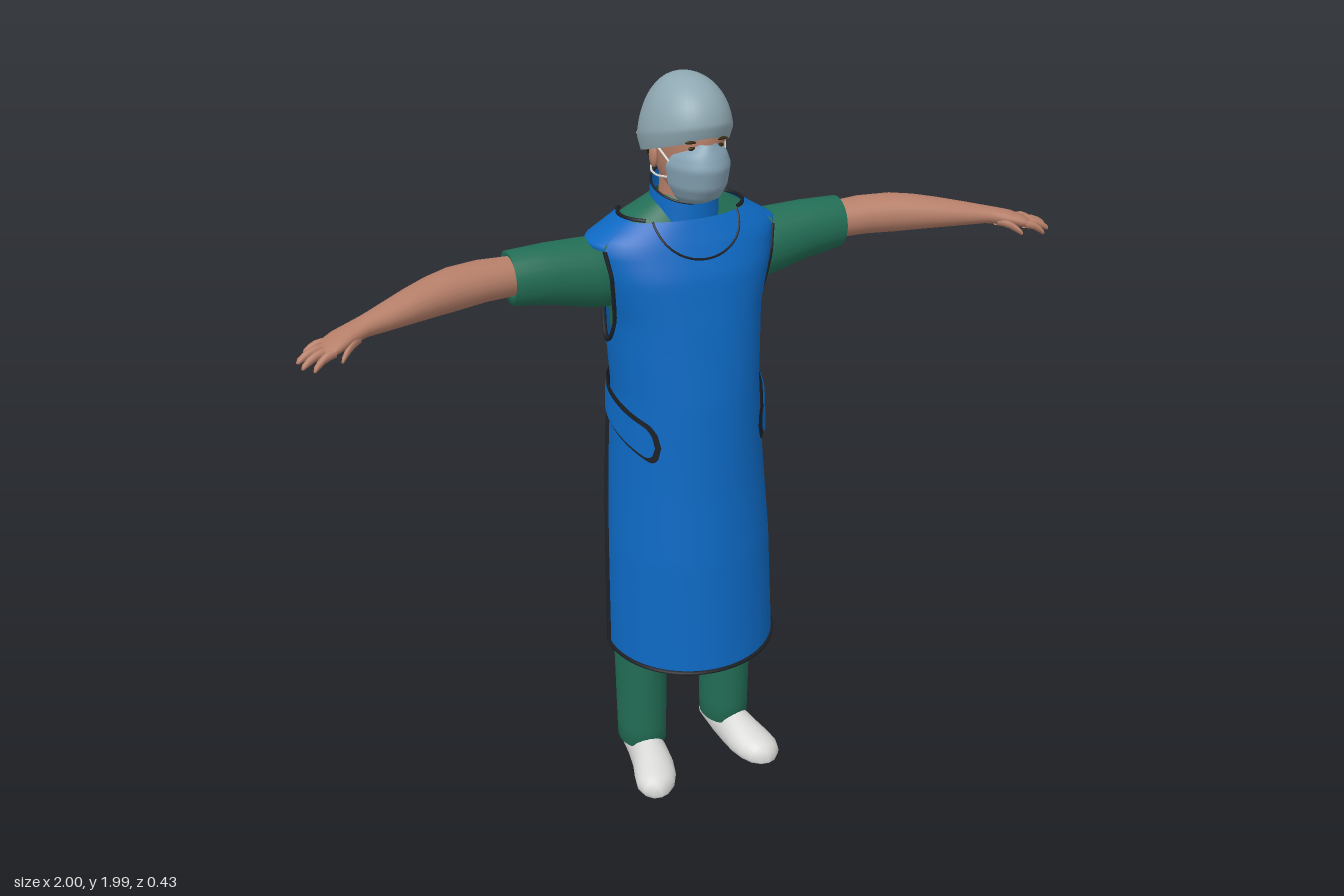
import * as THREE from 'three';
import { mergeVertices } from 'three/addons/utils/BufferGeometryUtils.js';

const { sin, cos, abs, sqrt, PI, min, max, asin, sign } = Math;
const rad = d => d * PI / 180;
const material = (name, color) => {
  const m = new THREE.MeshStandardMaterial({ color, side: THREE.DoubleSide });
  m.name = name;
  return m;
};

// Smooth surface from a point rule f(u, v) with u and v in 0..1
function grid(f, nu = 32, nv = 12) {
  const pos = [], idx = [];
  for (let j = 0; j <= nv; j++) for (let i = 0; i <= nu; i++) pos.push(...f(i / nu, j / nv));
  for (let j = 0; j < nv; j++) for (let i = 0; i < nu; i++) {
    const a = j * (nu + 1) + i, b = a + 1, c = a + nu + 1, d = c + 1;
    idx.push(a, b, d, a, d, c);
  }
  let g = new THREE.BufferGeometry();
  g.setAttribute('position', new THREE.Float32BufferAttribute(pos, 3));
  g.setIndex(idx);
  g = mergeVertices(g, 1e-5);
  g.computeVertexNormals();
  return g;
}

// Mirrored copy across x = 0
function mirrored(g) {
  const m = g.clone().scale(-1, 1, 1), ix = m.index.array;
  for (let i = 0; i < ix.length; i += 3) [ix[i], ix[i + 1]] = [ix[i + 1], ix[i]];
  return m;
}

// Linear lookup in a table sorted by its first column
function look(table, k) {
  let i = 0;
  while (i < table.length - 2 && k > table[i + 1][0]) i++;
  const a = table[i], b = table[i + 1];
  const t = min(1, max(0, (k - a[0]) / (b[0] - a[0])));
  return a.map((v, n) => v + (b[n] - v) * t);
}

// Lofts through rings; the rule turns a ring and an angle into a point
const loft = (rings, rule, sides = 24) =>
  grid((u, v) => rule(rings[Math.round(v * (rings.length - 1))], u * 2 * PI), sides, rings.length - 1);
const alongX = ([x, y, z, ry, rz], a) => [x, y + ry * cos(a), z + rz * sin(a)];
const alongY = ([y, x, z, rx, rz], a) => [x + rx * sin(a), y, z + rz * cos(a)];
const headRule = ([y, w, z, f, b], a) => [w * sin(a), y, z + (cos(a) > 0 ? f : b) * cos(a)];
const shoeRule = ([z, x, w, h], a) => [x + w * cos(a), max(0, h * (0.3 + 0.7 * sin(a))), z];
const tube = (pts, r = 0.006, n = 40) =>
  new THREE.TubeGeometry(new THREE.CatmullRomCurve3(pts.map(p => new THREE.Vector3(...p))), n, r, 6);

// Torso and apron rings: height, half width, centre z, front depth, back depth, squareness
const BODY = [
  [0.43, 0.232, -0.02, 0.23, 0.16, 1], [0.75, 0.222, -0.03, 0.217, 0.16, 1],
  [0.94, 0.210, -0.045, 0.213, 0.165, 1], [1.05, 0.203, -0.05, 0.21, 0.155, 1],
  [1.2, 0.195, -0.05, 0.197, 0.147, 0.95], [1.4, 0.205, -0.06, 0.177, 0.14, 0.85],
  [1.52, 0.235, -0.06, 0.155, 0.14, 0.8], [1.6, 0.25, -0.065, 0.125, 0.13, 0.8],
  [1.65, 0.17, -0.065, 0.1, 0.1, 0.8], [1.7, 0.08, -0.06, 0.07, 0.065, 0.9]];
function body(a, y, o = 0) {
  const [, w, zc, f, b, p] = look(BODY, y), s = sin(a), c = cos(a);
  return [(w + o) * sign(s) * abs(s) ** p, y, zc + ((c > 0 ? f : b) + o) * c];
}
function chestZ(x, y, o) {
  const [, w, zc, f, , p] = look(BODY, y);
  return zc + (f + o) * cos(asin(min(1, abs(x) / w) ** (1 / p)));
}

// Apron edges as angles from the front
const hole = y => sqrt(min(1, max(0, (y - 1.33) / 0.2)));
const frontEdge = y => rad(y < 1.15 ? 97 + 19 * (y - 0.43)
  : y < 1.33 ? 110.7 - 15.7 * (y - 1.15) / 0.18 : 95 - 32 * hole(y));
const backHole = y => rad(95 + 38 * hole(y));
function veeEdge(y) {
  const [, w, , , , p] = look(BODY, y);
  return PI - asin(min(1, max(0, 0.14 * (y - 1.33) / 0.32) / w) ** (1 / p));
}
const band = (y0, y1, from, to, nu = 24, nv = 16) => grid((u, v) => {
  const y = y0 + (y1 - y0) * v, a = from(y), b = to(y);
  return body(a + (b - a) * u, y);
}, nu, nv);
const edge = (y0, y1, angle, n = 16) => Array.from({ length: n + 1 }, (_, i) => {
  const y = y0 + (y1 - y0) * i / n;
  return body(angle(y), y, 0.001);
});
const hoop = (y, a0, a1, n = 24) =>
  Array.from({ length: n + 1 }, (_, i) => body(a0 + (a1 - a0) * i / n, y, 0.001));

export function createModel() {
  const model = new THREE.Group();
  model.name = 'maskedMedic';
  const blue = material('apronBlue', 0x0d68c2), green = material('scrubGreen', 0x226d55);
  const skin = material('skin', 0xb67f69), cap = material('capGrey', 0x8fa8b2);
  const maskMat = material('maskBlueGrey', 0x86a3b4), white = material('shoeWhite', 0xd9d9d7);
  const black = material('trimBlack', 0x1c2026), hair = material('hairBrown', 0x35280f);
  const add = (name, geo, mat) => {
    const m = new THREE.Mesh(geo, mat);
    m.name = name;
    model.add(m);
  };
  const pair = (name, geo, mat) => {
    add(name + 'Left', geo, mat);
    add(name + 'Right', mirrored(geo), mat);
  };

  // Scrub top, trousers and sleeves
  add('tunic', grid((u, v) => body(u * 2 * PI, 0.94 + 0.76 * v, -0.014), 48, 48), green);
  pair('trouserLeg', loft([
    [0.07, 0.132, -0.06, 0.055, 0.06], [0.06, 0.132, -0.06, 0.068, 0.08], [0.12, 0.132, -0.06, 0.069, 0.08],
    [0.4, 0.132, -0.06, 0.071, 0.09], [0.6, 0.128, -0.057, 0.077, 0.095], [0.78, 0.112, -0.055, 0.088, 0.103],
    [0.86, 0.1, -0.058, 0.096, 0.11], [1.0, 0.09, -0.06, 0.095, 0.112]], alongY), green);
  pair('sleeve', loft([
    [0.16, 1.5, -0.08, 0.08, 0.07], [0.2, 1.51, -0.08, 0.09, 0.08], [0.25, 1.515, -0.08, 0.088, 0.082],
    [0.35, 1.53, -0.076, 0.077, 0.07], [0.45, 1.538, -0.07, 0.068, 0.061], [0.447, 1.542, -0.07, 0.05, 0.05]], alongX), green);

  // Arms, palms, fingers and thumbs
  pair('arm', loft([
    [0.43, 1.543, -0.07, 0.047, 0.052], [0.52, 1.548, -0.06, 0.05, 0.055], [0.6, 1.547, -0.045, 0.051, 0.057],
    [0.66, 1.546, -0.024, 0.046, 0.055], [0.72, 1.543, 0, 0.039, 0.049], [0.78, 1.539, 0.025, 0.031, 0.04],
    [0.83, 1.535, 0.044, 0.024, 0.033], [0.87, 1.529, 0.06, 0.021, 0.038], [0.905, 1.522, 0.074, 0.019, 0.046],
    [0.935, 1.513, 0.083, 0.014, 0.044], [0.943, 1.511, 0.085, 0, 0]], alongX), skin);
  const finger = (x0, y0, z0, x1, y1, z1) => loft([0, 0.25, 0.5, 0.75, 0.93, 1].map((t, i) => {
    const r = [0.011, 0.011, 0.0105, 0.0095, 0.007, 0][i];
    return [x0 + (x1 - x0) * t, y0 + (y1 - y0) * t + 0.008 * sin(PI * t), z0 + (z1 - z0) * t, r, r];
  }), alongX, 10);
  [[0.915, 1.515, 0.112, 0.972, 1.487, 0.13], [0.925, 1.514, 0.095, 0.995, 1.492, 0.116],
    [0.925, 1.514, 0.075, 1.0, 1.497, 0.091], [0.915, 1.516, 0.054, 0.978, 1.503, 0.062]]
    .forEach((f, i) => pair('finger' + (i + 1), finger(...f), skin));
  pair('thumb', finger(0.85, 1.522, 0.075, 0.908, 1.493, 0.124), skin);

  // Shoes
  pair('shoe', loft([
    [-0.152, 0.13, 0, 0.03], [-0.15, 0.13, 0.025, 0.05], [-0.13, 0.13, 0.043, 0.08], [-0.04, 0.135, 0.05, 0.095],
    [0.02, 0.142, 0.055, 0.092], [0.07, 0.152, 0.061, 0.075], [0.11, 0.162, 0.06, 0.062],
    [0.14, 0.167, 0.047, 0.053], [0.157, 0.17, 0.025, 0.04], [0.162, 0.17, 0, 0.015]], shoeRule), white);

  // Apron: front, sides, back and shoulder straps
  add('apronFront', band(0.43, 1.65, y => -frontEdge(y), frontEdge, 40, 61), blue);
  pair('apronSide', band(1.15, 1.33, frontEdge, () => PI), blue);
  pair('apronBack', band(1.33, 1.59, backHole, veeEdge), blue);
  pair('apronShoulder', band(1.59, 1.655, frontEdge, veeEdge), blue);

  // Dark binding along the apron edges
  add('hemBinding', tube(hoop(0.43, -frontEdge(0.43), frontEdge(0.43))), black);
  pair('skirtBinding', tube(edge(0.43, 1.15, frontEdge), 0.009), black);
  pair('backHemBinding', tube(hoop(1.15, frontEdge(1.15), PI), 0.005), black);
  pair('armholeBinding', tube([...edge(1.59, 1.33, frontEdge), ...edge(1.34, 1.59, backHole)], 0.006, 60), black);
  pair('backNeckBinding', tube(edge(1.335, 1.655, veeEdge), 0.005), black);
  pair('shoulderBinding', tube(hoop(1.655, 0.8, veeEdge(1.655)), 0.005), black);
  add('wrapSeam', tube(Array.from({ length: 9 }, (_, i) =>
    body(PI + rad(48) * i / 8, 1.335 - 0.15 * i / 8, 0.001)), 0.003), black);

  // Side fastening straps
  const strap = (a0, a1, o, grow, round) => grid((u, v) => {
    const a = a0 + (a1 - a0) * u, k = min(1, max(0, (a - rad(45)) / rad(65)));
    const e = round ? sqrt(max(0, 1 - (1 - min(1, u / 0.15)) ** 2)) : 1;
    return body(a, 1.09 + 0.09 * k + (v * 2 - 1) * (0.042 + grow - 0.008 * k) * e, o);
  }, 30, 4);
  pair('strapBacking', strap(rad(41), rad(112), 0.008, 0.011, true), black);
  pair('strap', strap(rad(45), rad(106), 0.013, 0, true), blue);
  pair('strapFastener', strap(rad(104), rad(142), 0.009, 0.004, false), black);

  // Neck collar with rounded bib
  const collar = (a, v) => [(0.088 - 0.008 * v) * sin(a), 1.65 - 0.028 * cos(a) + (0.068 + 0.004 * cos(a)) * v,
    -0.043 + (0.09 - 0.005 * v) * cos(a)];
  add('collar', grid((u, v) => collar(u * 2 * PI, v), 40, 4), blue);
  const bib = (th, t) => {
    const x = 0.112 * t * sin(th), y = 1.655 - 0.088 * t * cos(th);
    return [x, y, chestZ(x, y, 0.012)];
  };
  add('collarBib', grid((u, v) => bib((u - 0.5) * PI, v), 28, 10), blue);
  const turn = n => Array.from({ length: n + 1 }, (_, i) => i / n);
  add('bibBinding', tube(turn(20).map(t => bib((t - 0.5) * PI, 1)), 0.003), black);
  add('collarTopBinding', tube(turn(32).map(t => collar(t * 2 * PI, 1)), 0.003, 64), black);
  add('collarLowerBinding', tube(turn(32).map(t => collar(t * 2 * PI, 0)), 0.003, 64), black);

  // Neck, head, ears, eyes and hair
  add('neck', loft([[1.62, 0, -0.06, 0.062, 0.06], [1.72, 0, -0.05, 0.057, 0.06], [1.8, 0, -0.045, 0.06, 0.065]], alongY), skin);
  add('head', loft([
    [1.695, 0, 0.04, 0, 0], [1.7, 0.028, 0.035, 0.03, 0.04], [1.72, 0.052, 0.01, 0.07, 0.065],
    [1.75, 0.069, -0.01, 0.098, 0.085], [1.8, 0.082, -0.03, 0.118, 0.1], [1.835, 0.086, -0.035, 0.122, 0.112],
    [1.86, 0.088, -0.035, 0.127, 0.115], [1.9, 0.088, -0.035, 0.115, 0.11], [1.95, 0.04, -0.035, 0.05, 0.05]], headRule, 32), skin);
  const ball = (x, y, z, sx, sy, sz) => new THREE.SphereGeometry(1, 14, 10).scale(sx, sy, sz).translate(x, y, z);
  pair('ear', ball(0.088, 1.805, -0.025, 0.01, 0.03, 0.017), skin);
  pair('eye', ball(0.034, 1.842, 0.078, 0.012, 0.005, 0.005), hair);
  pair('eyebrow', ball(0.036, 1.858, 0.08, 0.019, 0.004, 0.005), hair);
  add('hair', grid((u, v) => {
    const a = rad(98 + 164 * u), y = 1.755 + 0.1 * v, r = 0.85 + 0.15 * min(1, v * 2);
    return [0.094 * r * sin(a), y + 0.03 * (1 - v) * (1 + cos(a)), -0.035 + 0.122 * r * cos(a)];
  }, 28, 8), hair);

  // Surgical cap with a rim dropping towards the nape
  add('cap', grid((u, v) => {
    const a = u * 2 * PI, rim = 1.822 + 0.042 * cos(a), t = (1 - v) * PI / 2;
    const r = v === 0 ? 0.92 : sin(t) ** 0.9, y = v === 0 ? rim - 0.006 : rim + 0.012 + (1.978 - rim) * cos(t);
    return [0.11 * r * sin(a), y, -0.038 + 0.137 * r * cos(a)];
  }, 40, 16), cap);

  // Face mask with its ties
  const MASK = [[1.7, 0.045, 0.02, 0.045], [1.715, 0.058, 0.02, 0.075], [1.745, 0.073, 0.015, 0.1],
    [1.795, 0.08, 0.015, 0.11], [1.825, 0.066, 0.03, 0.084], [1.852, 0.028, 0.05, 0.05]];
  add('mask', grid((u, v) => {
    const [y, w, z, d] = look(MASK, 1.7 + 0.152 * v), a = (u - 0.5) * rad(170);
    return [w * sin(a), y, z + d * cos(a)];
  }, 24, 20), maskMat);
  pair('upperTie', tube([[0.072, 1.8, 0.035], [0.09, 1.835, -0.01], [0.1, 1.84, -0.06], [0.07, 1.825, -0.15], [0, 1.815, -0.18]], 0.003), white);
  pair('lowerTie', tube([[0.07, 1.765, 0.035], [0.08, 1.755, -0.02], [0.07, 1.75, -0.08], [0.04, 1.75, -0.13], [0, 1.75, -0.145]], 0.003), white);
  pair('upperTieEnd', tube([[0, 1.815, -0.178], [0.01, 1.84, -0.19], [0.016, 1.88, -0.208]], 0.003, 10), white);
  pair('lowerTieEnd', tube([[0, 1.75, -0.145], [0.012, 1.755, -0.16], [0.018, 1.725, -0.15]], 0.003, 10), white);
  add('upperKnot', ball(0, 1.815, -0.178, 0.009, 0.007, 0.008), white);
  return model;
}
